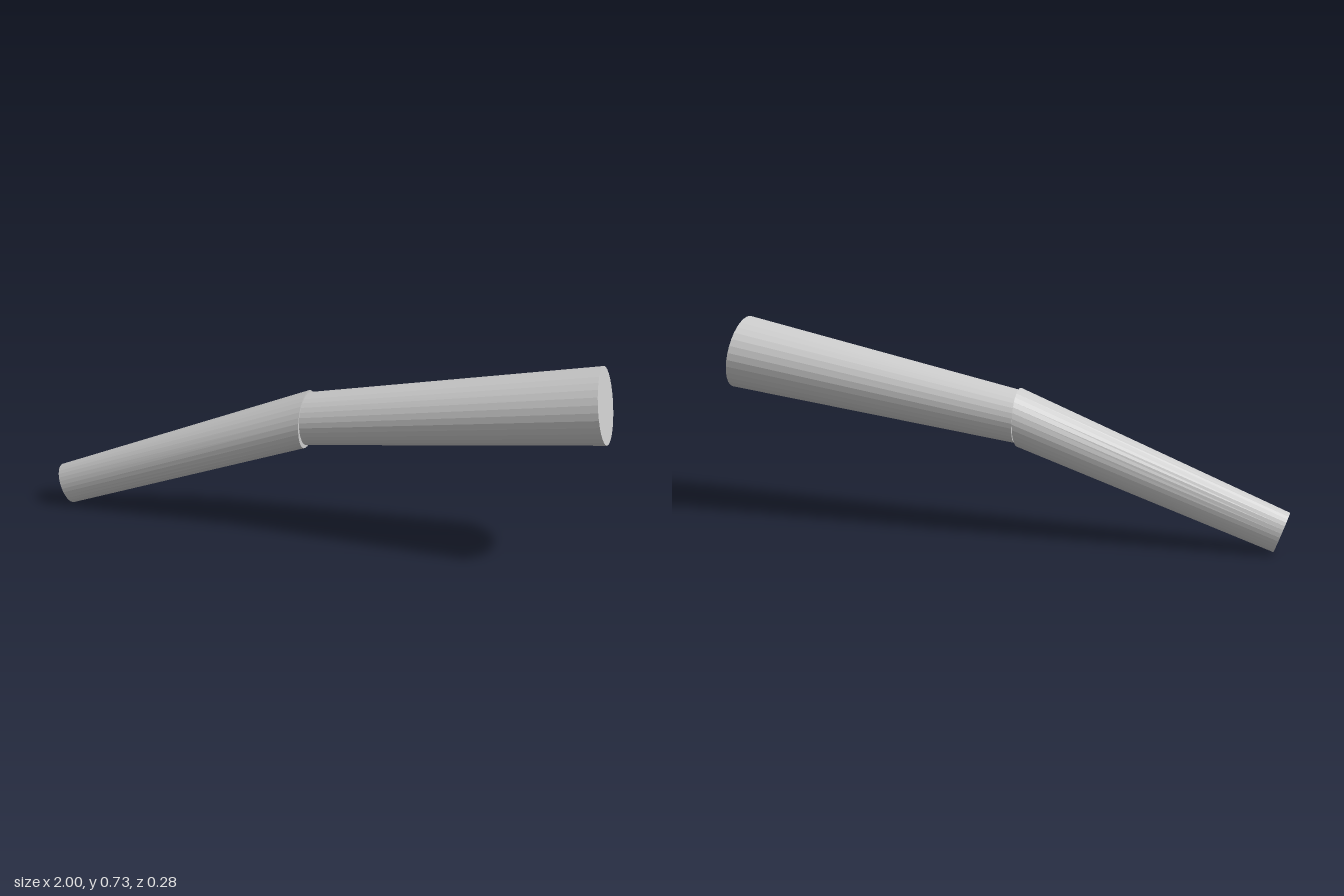
import * as THREE from 'three';

const material = new THREE.MeshStandardMaterial({ color: 0xcccccc, flatShading: true });

// Tapered limb between two elliptical rings; each ring has a centre,
// an "up" half-axis in the xy plane and a half-width along z.
function limb(name, start, end) {
  const geometry = new THREE.CylinderGeometry(1, 1, 1, 32, 1);
  const pos = geometry.attributes.position;
  for (let i = 0; i < pos.count; i++) {
    const ring = pos.getY(i) > 0 ? end : start;
    const up = -pos.getX(i);
    pos.setXYZ(
      i,
      ring.center[0] + ring.up[0] * up,
      ring.center[1] + ring.up[1] * up,
      ring.center[2] + ring.width * pos.getZ(i)
    );
  }
  geometry.computeVertexNormals();
  const mesh = new THREE.Mesh(geometry, material);
  mesh.name = name;
  return mesh;
}

export function createModel() {
  const group = new THREE.Group();
  group.name = 'bentArm';

  // Thick section, from the elbow to the wide flat end
  group.add(limb('upperArm',
    { center: [-0.053, 0.426, -0.002], up: [-0.006, 0.092], width: 0.097 },
    { center: [0.977, 0.597, 0], up: [-0.022, 0.128], width: 0.141 }));

  // Thin section, from the narrow tip to the elbow
  group.add(limb('forearm',
    { center: [-0.975, 0.071, 0.035], up: [-0.025, 0.071], width: 0.057 },
    { center: [-0.055, 0.424, -0.001], up: [0, 0.103], width: 0.101 }));

  return group;
}
